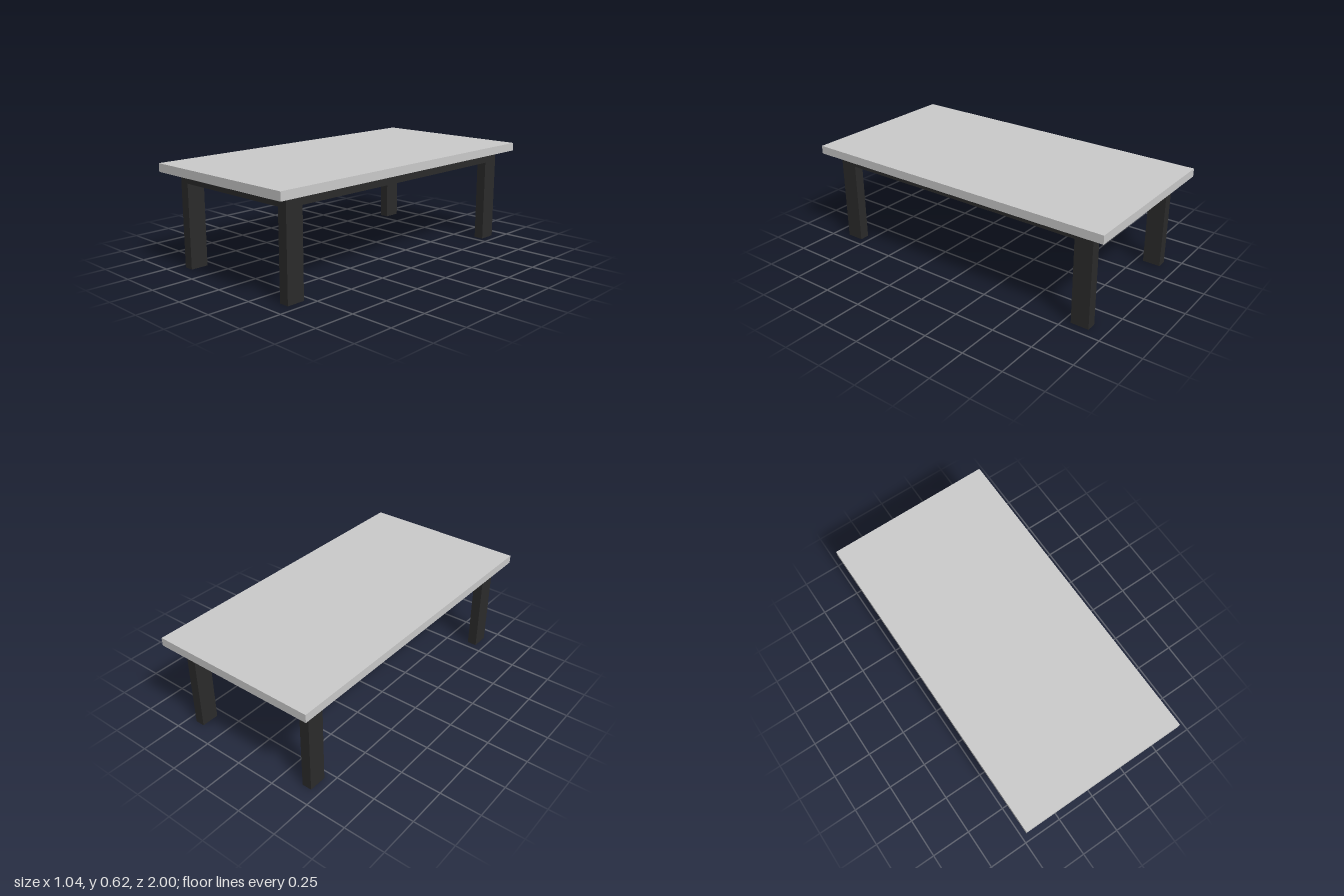
import * as THREE from 'three';

export function createModel() {
  const table = new THREE.Group();
  table.name = 'table';
  const topMaterial = new THREE.MeshStandardMaterial({ color: 0xcccccc });
  const frameMaterial = new THREE.MeshStandardMaterial({ color: 0x2b2b2b });

  const halfX = 0.447, halfZ = 0.905; // outer size of the base
  const apronBottom = 0.507, apronTop = 0.57, apronThickness = 0.06;
  const legX = 0.06, legZ = 0.11;

  function addBox(name, size, position, material) {
    const mesh = new THREE.Mesh(new THREE.BoxGeometry(...size), material);
    mesh.name = name;
    mesh.position.set(...position);
    table.add(mesh);
  }

  // Table top
  addBox('tableTop', [1.036, 0.05, 2], [0, apronTop + 0.025, 0], topMaterial);

  // Apron: one rectangular ring under the top
  const rectangle = (path, x, z) =>
    path.moveTo(-x, -z).lineTo(x, -z).lineTo(x, z).lineTo(-x, z).closePath();
  const ring = rectangle(new THREE.Shape(), halfX, halfZ);
  ring.holes.push(rectangle(new THREE.Path(), halfX - apronThickness, halfZ - apronThickness));
  const apronGeometry = new THREE.ExtrudeGeometry(ring, {
    depth: apronTop - apronBottom, bevelEnabled: false,
  });
  apronGeometry.rotateX(-Math.PI / 2);
  const apron = new THREE.Mesh(apronGeometry, frameMaterial);
  apron.name = 'apron';
  apron.position.y = apronBottom;
  table.add(apron);

  // Four legs, flush with the outer corners of the apron
  for (const [sideName, sx] of [['Left', 1], ['Right', -1]]) {
    for (const [endName, sz] of [['front', 1], ['back', -1]]) {
      addBox(`${endName}${sideName}Leg`, [legX, apronBottom, legZ],
        [sx * (halfX - legX / 2), apronBottom / 2, sz * (halfZ - legZ / 2)], frameMaterial);
    }
  }
  return table;
}
